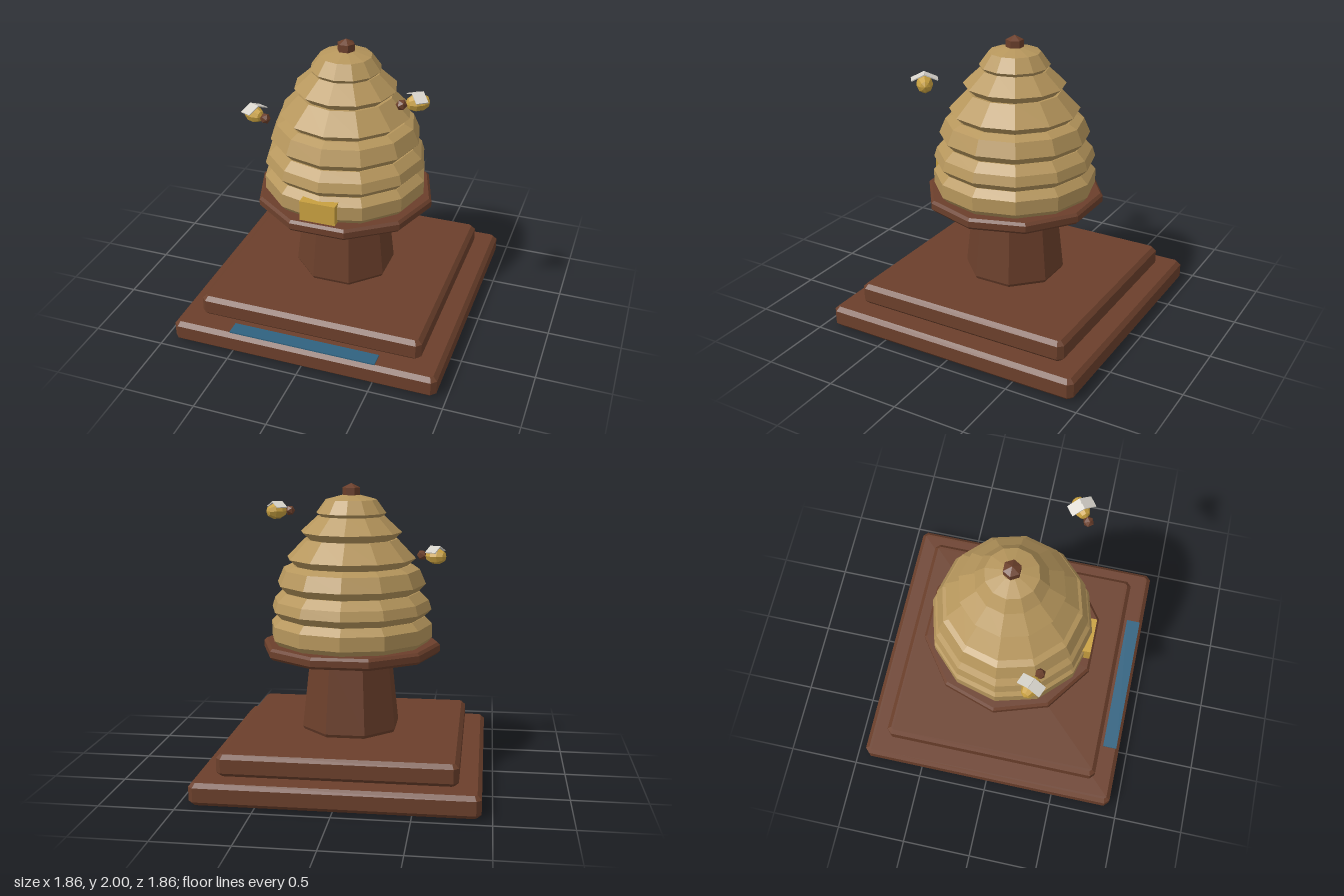
import * as THREE from 'three';

const material = (name, color) => {
  const m = new THREE.MeshStandardMaterial({ color });
  m.name = name;
  return m;
};

// Split the faces so every facet is shaded flat
function facet(geometry) {
  const g = geometry.index ? geometry.toNonIndexed() : geometry;
  g.computeVertexNormals();
  return g;
}

function add(parent, name, geometry, mat, x = 0, y = 0, z = 0) {
  const mesh = new THREE.Mesh(facet(geometry), mat);
  mesh.name = name;
  mesh.position.set(x, y, z);
  parent.add(mesh);
  return mesh;
}

// Faceted turning from [radius, height] pairs, bottom to top
const turned = (profile, sides, start) =>
  new THREE.LatheGeometry(profile.map(([r, y]) => new THREE.Vector2(r, y)), sides, start);

// Square slab with all edges chamfered, standing on y = 0
function slab(half, height, bevel) {
  const s = half - bevel, c = s - bevel * 0.6;
  const shape = new THREE.Shape([
    [s, -c], [s, c], [c, s], [-c, s], [-s, c], [-s, -c], [-c, -s], [c, -s],
  ].map(([x, y]) => new THREE.Vector2(x, y)));
  const g = new THREE.ExtrudeGeometry(shape, {
    depth: height - 2 * bevel, bevelEnabled: true, bevelSegments: 1,
    bevelSize: bevel, bevelThickness: bevel,
  });
  return g.translate(0, 0, bevel).rotateX(-Math.PI / 2);
}

export function createModel() {
  const wood = material('wood', 0x6b3f2b);
  const straw = material('straw', 0xb6965c);
  const gold = material('gold', 0xc8a040);
  const blue = material('blue', 0x2f6280);
  const wingWhite = material('wingWhite', 0xd6d2ca);

  const model = new THREE.Group();
  model.name = 'beehive';

  // Stepped base with an inlaid plaque
  add(model, 'lowerSlab', slab(0.932, 0.15, 0.028), wood);
  add(model, 'upperSlab', slab(0.785, 0.15, 0.028), wood, 0, 0.148, 0);
  add(model, 'plaque', new THREE.BoxGeometry(1.03, 0.009, 0.1), blue, 0, 0.1545, 0.86);

  // Eight-sided pedestal and ten-sided platform
  add(model, 'pedestal', turned([
    [0, 0.29], [0.335, 0.295], [0.348, 0.32], [0.293, 0.815], [0.275, 0.84], [0, 0.845],
  ], 8, Math.PI / 8), wood);
  add(model, 'platform', turned([
    [0, 0.836], [0.6, 0.836], [0.618, 0.855], [0.618, 0.897], [0.6, 0.915], [0, 0.915],
  ], 10, Math.PI / 2), wood);

  // Straw hive: overlapping tiers, each flaring out then tapering in
  add(model, 'hive', turned([
    [0, 0.912], [0.53, 0.915], [0.56, 0.95], [0.56, 1.045], [0.51, 1.095],
    [0.505, 1.095], [0.555, 1.145], [0.535, 1.21], [0.475, 1.268],
    [0.465, 1.268], [0.515, 1.32], [0.472, 1.42], [0.41, 1.45],
    [0.39, 1.445], [0.445, 1.495], [0.32, 1.625],
    [0.295, 1.622], [0.348, 1.672], [0.23, 1.78],
    [0.205, 1.768], [0.24, 1.8], [0.175, 1.89], [0.06, 1.92], [0, 1.92],
  ], 12, 0), straw);
  add(model, 'finial', turned([
    [0, 1.9], [0.06, 1.9], [0.06, 1.97], [0, 2],
  ], 6, Math.PI / 2), wood);

  // Entrance block
  add(model, 'entrance', new THREE.BoxGeometry(0.245, 0.14, 0.16), gold, 0.002, 1, 0.493);

  // Bees, built facing +x
  function bee(name, x, y, z, heading) {
    const group = new THREE.Group();
    group.name = name;
    const body = new THREE.SphereGeometry(1, 8, 5).rotateZ(Math.PI / 2).scale(0.08, 0.058, 0.055);
    add(group, 'body', body, gold);
    add(group, 'head', new THREE.IcosahedronGeometry(0.037, 0), wood, 0.108, 0, 0);
    for (const side of [-1, 1]) {
      const wing = new THREE.BoxGeometry(0.078, 0.007, 0.092).translate(0, 0, side * 0.046);
      const mesh = add(group, side < 0 ? 'leftWing' : 'rightWing', wing, wingWhite, 0.005, 0.068, 0);
      mesh.rotation.x = side * 0.42;
    }
    group.position.set(x, y, z);
    group.rotation.y = heading;
    model.add(group);
  }
  bee('leftBee', 0.585, 1.775, 0.325, Math.atan2(-0.6, -0.8));
  bee('rightBee', -0.567, 1.48, 0.243, Math.atan2(-0.38, 0.92));

  return model;
}
